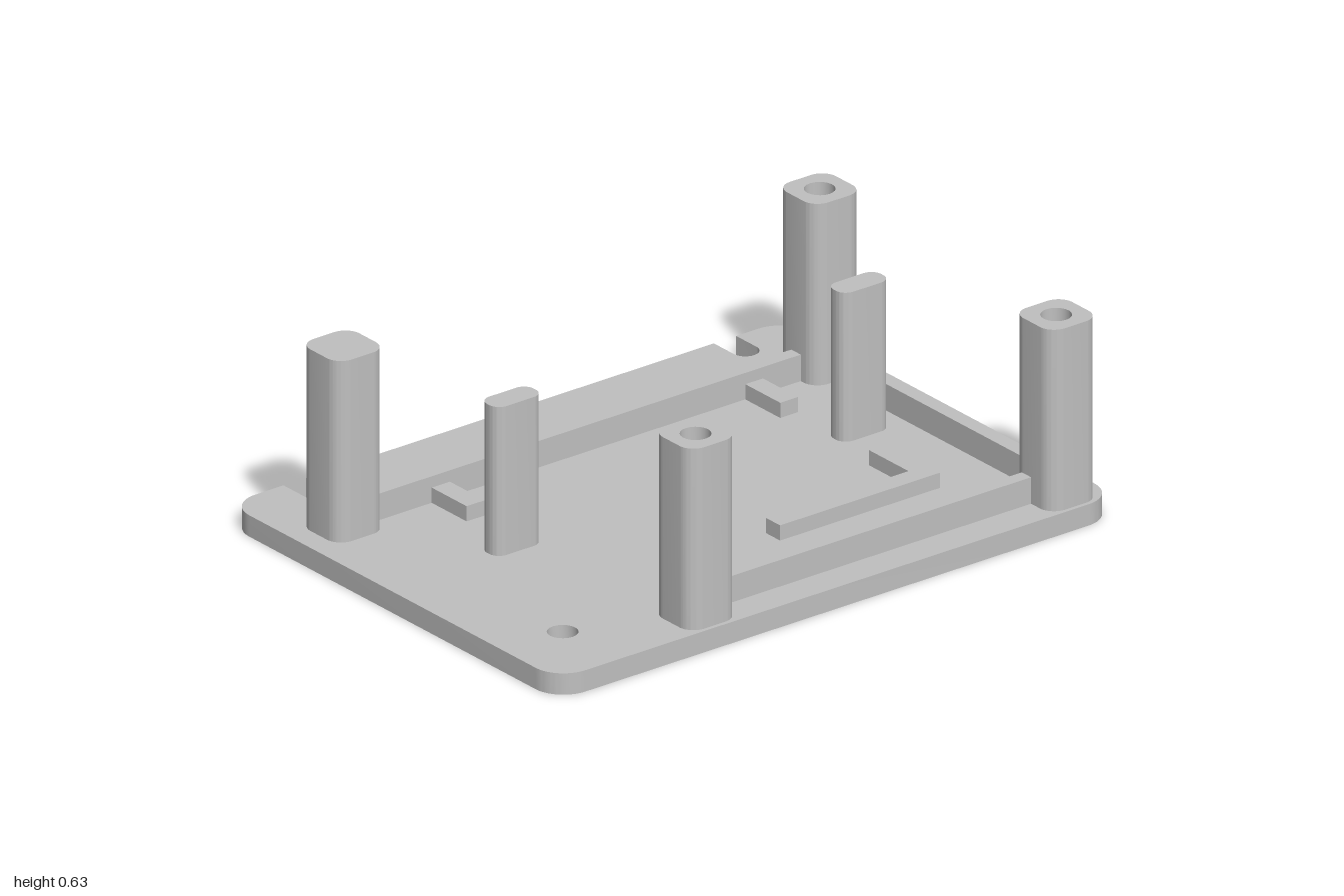
import * as THREE from 'three';
import { toCreasedNormals } from 'three/addons/utils/BufferGeometryUtils.js';

const PI = Math.PI;
const PLATE_TOP = 0.066;

export function createModel() {
  const model = new THREE.Group();
  model.name = 'mountingTray';
  const grey = new THREE.MeshStandardMaterial({ color: 0xc0c0c0 });
  grey.name = 'greyPlastic';

  // Raises a plan drawn in (x, z) between two heights
  function raise(name, shape, bottom, top) {
    const geo = new THREE.ExtrudeGeometry(shape, { depth: top - bottom, bevelEnabled: false, curveSegments: 10 });
    geo.rotateX(PI / 2);
    geo.translate(0, top, 0);
    const mesh = new THREE.Mesh(toCreasedNormals(geo, 0.6), grey);
    mesh.name = name;
    model.add(mesh);
  }

  // Rounded rectangle plan; slots are [x, endZ, halfWidth] cut in from the back edge
  function roundedPlan(x0, x1, z0, z1, r, slots = []) {
    const s = new THREE.Shape();
    s.moveTo(x0 + r, z0);
    for (const [x, end, w] of slots) {
      s.lineTo(x - w, z0);
      s.lineTo(x - w, end - w);
      s.absarc(x, end - w, w, PI, 0, true);
      s.lineTo(x + w, z0);
    }
    s.lineTo(x1 - r, z0);
    s.absarc(x1 - r, z0 + r, r, -PI / 2, 0, false);
    s.lineTo(x1, z1 - r);
    s.absarc(x1 - r, z1 - r, r, 0, PI / 2, false);
    s.lineTo(x0 + r, z1);
    s.absarc(x0 + r, z1 - r, r, PI / 2, PI, false);
    s.lineTo(x0, z0 + r);
    s.absarc(x0 + r, z0 + r, r, PI, PI * 1.5, false);
    return s;
  }

  function addHole(shape, x, z, r) {
    const hole = new THREE.Path();
    hole.absarc(x, z, r, 0, PI * 2, true);
    shape.holes.push(hole);
  }

  function box(name, x0, x1, z0, z1, top) {
    const geo = new THREE.BoxGeometry(x1 - x0, top - PLATE_TOP, z1 - z0);
    const mesh = new THREE.Mesh(geo, grey);
    mesh.position.set((x0 + x1) / 2, (top + PLATE_TOP) / 2, (z0 + z1) / 2);
    mesh.name = name;
    model.add(mesh);
  }

  // Base plate with two open slots and a round hole
  const plate = roundedPlan(-1, 1, -0.752, 0.748, 0.1, [[-0.76, -0.61, 0.04], [0.78, -0.62, 0.04]]);
  addHole(plate, -0.79, 0.505, 0.045);
  raise('basePlate', plate, 0, PLATE_TOP);

  // Corner posts; three are bored for screws
  const half = 0.0875;
  const posts = [
    ['backRightPost', -0.842, -0.427, false],
    ['backLeftPost', 0.863, -0.427, true],
    ['frontLeftPost', 0.863, 0.648, true],
    ['frontRightPost', -0.427, 0.648, true],
  ];
  for (const [name, x, z, bored] of posts) {
    const plan = roundedPlan(x - half, x + half, z - half, z + half, 0.05);
    if (bored) addHole(plan, x, z, 0.045);
    raise(name, plan, PLATE_TOP, 0.628);
  }

  // Shorter oblong pins
  raise('rightPin', roundedPlan(-0.63, -0.463, -0.077, 0.003, 0.035), PLATE_TOP, 0.527);
  raise('leftPin', roundedPlan(0.61, 0.78, -0.077, 0.003, 0.035), PLATE_TOP, 0.527);

  // Thin walls between the posts
  box('backWall', -0.755, 0.776, -0.445, -0.402, 0.148);
  box('leftWall', 0.842, 0.886, -0.34, 0.561, 0.148);
  box('frontWall', -0.34, 0.776, 0.603, 0.645, 0.148);

  // Low locating ribs
  const ribTop = 0.113;
  box('backRib', -0.545, 0.64, -0.488, -0.445, ribTop);
  box('backRightStub', -0.545, -0.48, -0.402, -0.243, ribTop);
  box('backLeftStub', 0.577, 0.64, -0.402, -0.243, ribTop);
  const corner = new THREE.Shape([
    [0.068, 0.34], [0.577, 0.34], [0.577, 0.16], [0.64, 0.16], [0.64, 0.403], [0.068, 0.403],
  ].map(([x, z]) => new THREE.Vector2(x, z)));
  raise('cornerRib', corner, PLATE_TOP, ribTop);

  return model;
}
